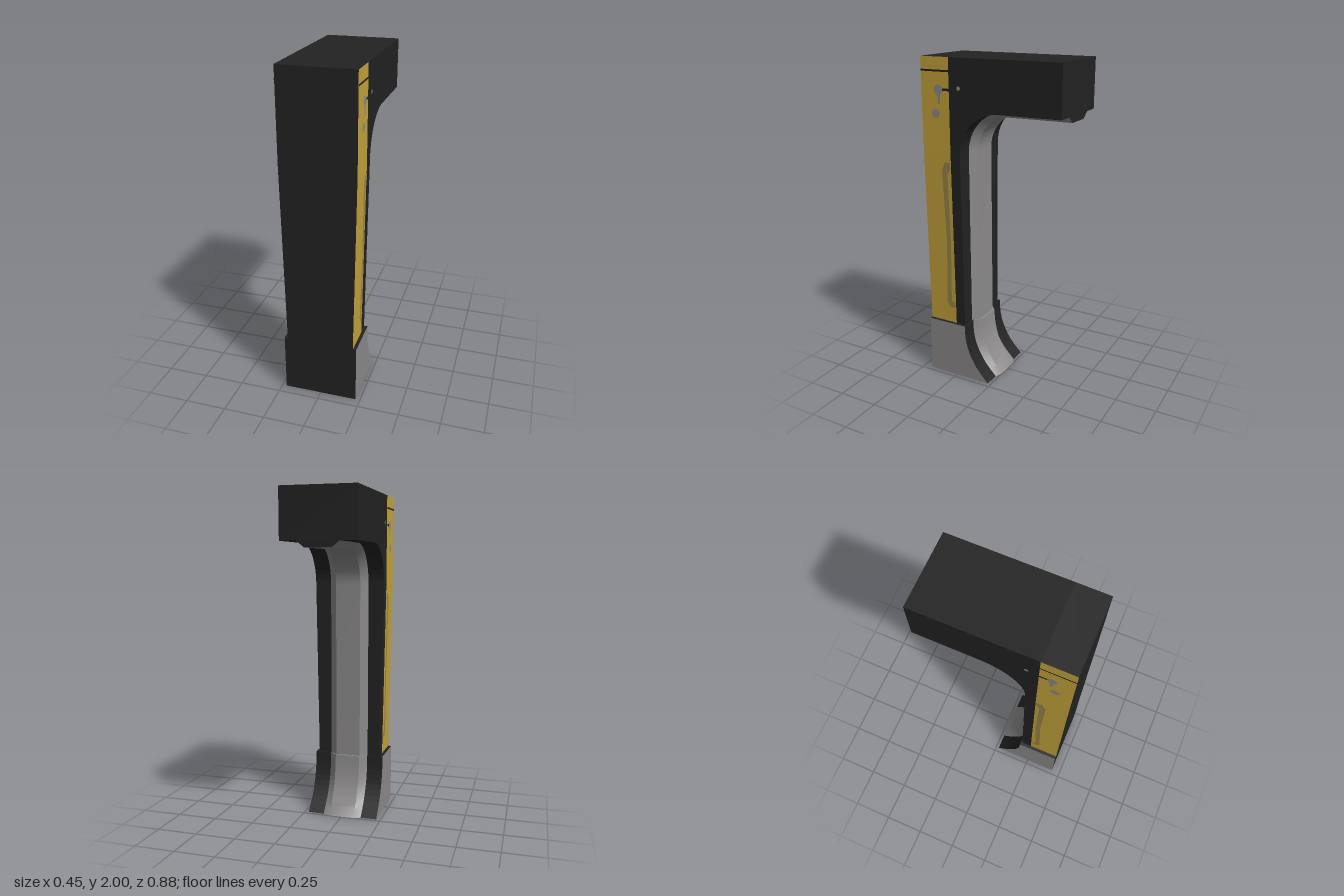
import * as THREE from 'three';
import { toCreasedNormals } from 'three/addons/utils/BufferGeometryUtils.js';

const material = (name, color) => {
  const m = new THREE.MeshStandardMaterial({ color, side: THREE.DoubleSide });
  m.name = name;
  return m;
};

const BASE_TOP = 0.36, BEND = 1.45, TOP = 2, FRONT = 0.442, SPLIT = 0.255, BACK = -0.442;

// half width of the column: straight above the bend, tapering below it
const half = (y) => (y >= BEND ? 0.221 : THREE.MathUtils.mapLinear(y, BASE_TOP, BEND, 0.203, 0.221));

export function createModel() {
  const group = new THREE.Group();
  const black = material('black', 0x222222);
  const yellow = material('yellow', 0xc5a33a);
  const grey = material('grey', 0x8c8a8a);
  const olive = material('olive', 0x99864a);

  const add = (name, geometry, mat) => {
    const mesh = new THREE.Mesh(geometry, mat);
    mesh.name = name;
    group.add(mesh);
    return mesh;
  };

  // box between two heights and depths, following the taper
  const taperedBox = (y0, y1, z0, z1) => {
    const g = new THREE.BoxGeometry(2, y1 - y0, z1 - z0).translate(0, (y0 + y1) / 2, (z0 + z1) / 2);
    const p = g.attributes.position;
    for (let i = 0; i < p.count; i++) p.setX(i, Math.sign(p.getX(i)) * half(p.getY(i)));
    g.computeVertexNormals();
    return g;
  };

  // side profile given in (z, y), extruded across x
  const profile = (points, width) =>
    new THREE.ExtrudeGeometry(new THREE.Shape(points.map(([z, y]) => new THREE.Vector2(z, y))),
      { depth: width, bevelEnabled: false })
      .translate(0, 0, -width / 2)
      .rotateY(-Math.PI / 2);

  // trapezoid ring of the raised rib
  const ring = ([zi, yi], [zo, yo]) => [[0.122, yi, zi], [0.078, yo, zo], [-0.078, yo, zo], [-0.122, yi, zi]];
  const fromTriangles = (verts) => {
    const g = new THREE.BufferGeometry();
    g.setAttribute('position', new THREE.Float32BufferAttribute(verts.flat(), 3));
    g.computeVertexNormals();
    return g;
  };
  const sweep = (inner, outer) => {
    const rings = inner.map((p, i) => ring(p, outer[i]));
    const verts = [];
    for (let i = 0; i < rings.length - 1; i++) {
      for (let j = 0; j < 3; j++) {
        const a = rings[i][j], b = rings[i][j + 1], c = rings[i + 1][j + 1], d = rings[i + 1][j];
        verts.push(a, b, c, a, c, d);
      }
    }
    return toCreasedNormals(fromTriangles(verts), 0.45);
  };
  const cap = (inner, outer) => {
    const [a, b, c, d] = ring(inner, outer);
    return fromTriangles([a, b, c, a, c, d]);
  };

  // inner outline: up the column, round the corner, along the arm
  const bend = (inset) => {
    const points = [[0.192 - inset, BASE_TOP]];
    for (let i = 0; i <= 12; i++) {
      const a = (i / 12) * Math.PI / 2;
      points.push([-0.06 + (0.252 - inset) * Math.cos(a), BEND + (0.255 - inset) * Math.sin(a)]);
    }
    points.push([BACK, 1.708 - inset]);
    return points;
  };
  const inner = bend(0), outer = bend(0.036);

  // column front with yellow sides
  const frontMats = [yellow, yellow, black, black, black, black];
  add('upperColumnFront', taperedBox(BEND, TOP, SPLIT, FRONT), frontMats);
  add('lowerColumnFront', taperedBox(BASE_TOP, BEND, SPLIT, FRONT), frontMats);

  // column back and arm
  add('lowerColumnBack', taperedBox(BASE_TOP, BEND, 0.192, SPLIT), black);
  add('arm', profile([[SPLIT, BEND], [SPLIT, TOP], [BACK, TOP], ...inner.slice(1).reverse()], 0.442), black);

  // raised rib on the inner side
  add('rib', sweep(inner, outer), grey);
  add('ribEnd', cap(inner[inner.length - 1], outer[outer.length - 1]), black);

  // flared foot with its own rib
  const curve = (points) => new THREE.SplineCurve(points.map(([z, y]) => new THREE.Vector2(z, y)))
    .getPoints(12).map((p) => [p.x, p.y]);
  const footInner = curve([[0.02, 0], [0.098, 0.085], [0.152, 0.18], [0.177, 0.27], [0.183, BASE_TOP]]);
  const footOuter = curve([[0, 0], [0.06, 0.075], [0.108, 0.165], [0.134, 0.265], [0.143, BASE_TOP]]);
  add('foot', profile([[FRONT, BASE_TOP], [FRONT, 0], ...footInner], 0.446), [grey, black]);
  add('footRib', sweep(footInner, footOuter), grey);
  add('footRibTop', cap(footInner[12], footOuter[12]), grey);
  add('footRibBottom', cap(footInner[0], footOuter[0]), grey);
  add('footUnderside', new THREE.BoxGeometry(0.4, 0.002, 0.18).translate(0, 0, 0.12), grey);

  // painted marks, laid on both sides
  const rect = (z0, y0, z1, y1) => new THREE.Shape(
    [[z0, y0], [z1, y0], [z1, y1], [z0, y1]].map(([z, y]) => new THREE.Vector2(z, y)));
  const disc = (z, y, r) => new THREE.Shape().absarc(z, y, r, 0, Math.PI * 2);
  const bracket = new THREE.Shape([[0.258, 0.465], [0.3, 0.465], [0.316, 0.5], [0.302, 0.9], [0.316, 1.35],
    [0.295, 1.4], [0.258, 1.4], [0.258, 1.36], [0.28, 1.33], [0.274, 0.9], [0.284, 0.51], [0.258, 0.5]]
    .map(([z, y]) => new THREE.Vector2(z, y)));
  const marks = [
    ['bracketMark', bracket, olive],
    ['upperDot', disc(0.326, 1.818, 0.028), grey],
    ['dotStem', rect(0.314, 1.74, 0.332, 1.8), grey],
    ['lowerDot', disc(0.347, 1.683, 0.026), grey],
    ['smallDot', disc(0.19, 1.832, 0.012), grey],
    ['dotLink', rect(0.255, 1.813, 0.3, 1.827), black],
    ['topLine', rect(0.255, 1.918, FRONT, 1.929), black],
  ];
  for (const side of [1, -1]) {
    for (const [name, shape, mat] of marks) {
      const g = new THREE.ShapeGeometry(shape, 10);
      const p = g.attributes.position;
      for (let i = 0; i < p.count; i++) {
        const z = p.getX(i), y = p.getY(i);
        p.setXYZ(i, side * (half(y) + 0.003), y, z);
      }
      g.computeVertexNormals();
      add((side > 0 ? 'left ' : 'right ') + name, g, mat);
    }
  }
  return group;
}
